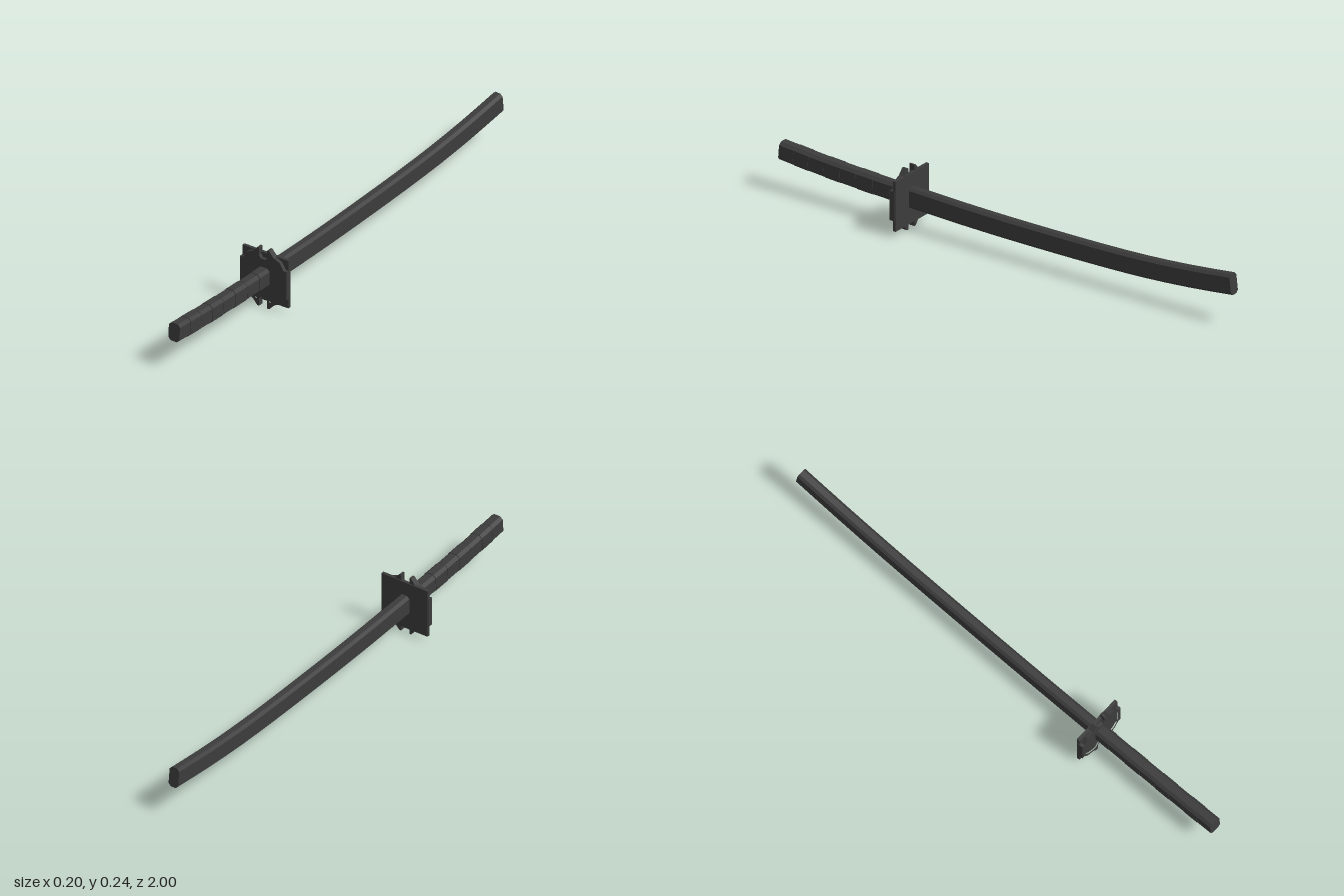
import * as THREE from 'three';

const darkGrey = new THREE.MeshStandardMaterial({ color: 0x3c3c3c });
darkGrey.name = 'dark grey';

// Chamfered octagon swept along part of a curve in the YZ plane (front to back), flat shaded
function sweep(curve, t0, t1, steps, halfW, halfH, chamfer) {
  const w = halfW - chamfer, h = halfH - chamfer;
  const ring = [[w, -halfH], [halfW, -h], [halfW, h], [w, halfH], [-w, halfH], [-halfW, h], [-halfW, -h], [-w, -halfH]];
  const n = ring.length, pos = [], index = [];
  for (let i = 0; i <= steps; i++) {
    const t = t0 + (t1 - t0) * i / steps;
    const p = curve.getPoint(t), d = curve.getTangent(t);
    for (const [x, v] of ring) pos.push(x, p.y - d.z * v, p.z + d.y * v);
  }
  for (let i = 0; i < steps; i++) {
    for (let j = 0; j < n; j++) {
      const a = i * n + j, b = i * n + (j + 1) % n;
      index.push(a, a + n, b + n, a, b + n, b);
    }
  }
  const e = steps * n;
  for (let j = 1; j < n - 1; j++) index.push(0, j, j + 1, e, e + j + 1, e + j);
  const indexed = new THREE.BufferGeometry();
  indexed.setAttribute('position', new THREE.Float32BufferAttribute(pos, 3));
  indexed.setIndex(index);
  const geo = indexed.toNonIndexed();
  geo.computeVertexNormals();
  return geo;
}

const curveYZ = (pts) => new THREE.CatmullRomCurve3(pts.map(([y, z]) => new THREE.Vector3(0, y, z)));

// Mirrors a quarter outline (top centre round to the right side) into a full closed loop
function fourfold(q) {
  const right = [...q, ...q.map(([x, y]) => [x, -y]).reverse()];
  const all = [...right, ...right.map(([x, y]) => [-x, y]).reverse()];
  return all.map(([x, y]) => new THREE.Vector2(x, y));
}

export function createModel() {
  const model = new THREE.Group();
  const add = (name, geo, parent = model) => {
    const mesh = new THREE.Mesh(geo, darkGrey);
    mesh.name = name;
    parent.add(mesh);
    return mesh;
  };

  // Curved scabbard
  const scabbardPath = curveYZ([[0.125, 0.43], [0.119, 0.2], [0.117, 0], [0.118, -0.2], [0.121, -0.4], [0.128, -0.6], [0.143, -0.8], [0.165, -0.995]]);
  add('scabbard', sweep(scabbardPath, 0, 1, 14, 0.021, 0.04, 0.01));

  // Curved grip: a core with slightly tapered wrap bands
  const grip = new THREE.Group();
  grip.name = 'grip';
  model.add(grip);
  const gripPath = curveYZ([[0.158, 0.9965], [0.144, 0.82], [0.134, 0.63], [0.127, 0.43]]);
  add('gripCore', sweep(gripPath, 0.01, 1, 8, 0.0235, 0.035, 0.011), grip);
  const bands = 8;
  for (let i = 0; i < bands; i++) {
    const grow = (i % 2) * 0.001;
    add('gripWrap', sweep(gripPath, i / bands, (i + 0.96) / bands, 1, 0.0245 + grow, 0.036 + grow, 0.011), grip);
  }

  // Guard: square back plate, raised panel and pronged rim
  const guard = new THREE.Group();
  guard.name = 'guard';
  guard.position.y = 0.122;
  model.add(guard);
  add('guardPlate', new THREE.BoxGeometry(0.202, 0.196, 0.012), guard).position.z = 0.43;

  const outer = fourfold([[0.011, 0.078], [0.018, 0.09], [0.018, 0.12], [0.026, 0.12], [0.045, 0.098], [0.072, 0.086], [0.09, 0.058], [0.102, 0.058]]);
  const inner = fourfold([[0.014, 0.07], [0.023, 0.078], [0.028, 0.092], [0.04, 0.088], [0.068, 0.072], [0.09, 0.035]]);
  const rimShape = new THREE.Shape(outer);
  rimShape.holes.push(new THREE.Path(inner));
  const extrude = (shape, depth) => new THREE.ExtrudeGeometry(shape, { depth, bevelEnabled: false });
  add('guardRim', extrude(rimShape, 0.022), guard).position.z = 0.428;
  add('guardPanel', extrude(new THREE.Shape(inner), 0.016), guard).position.z = 0.43;

  return model;
}
